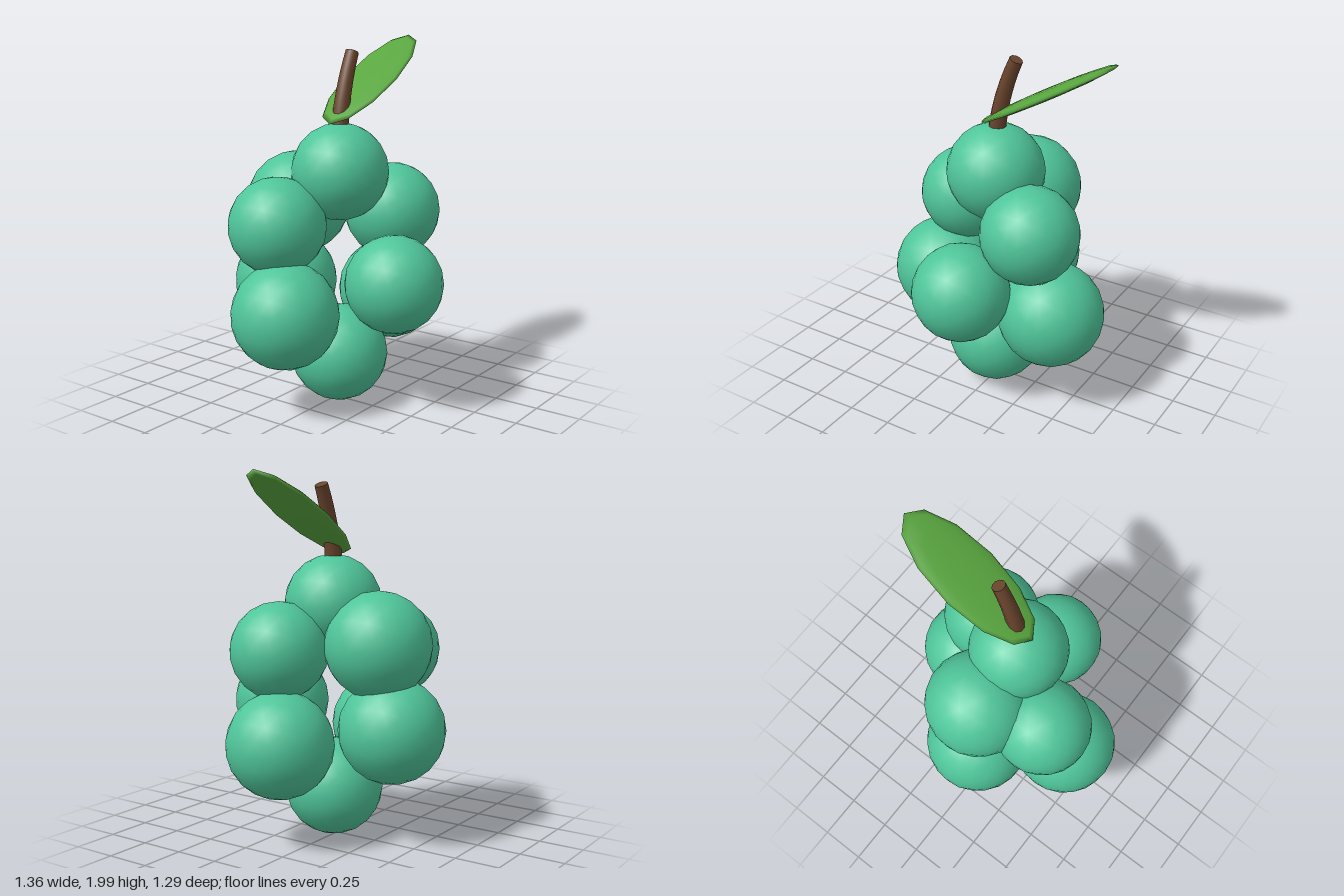
import * as THREE from 'three';

const grapeMat = new THREE.MeshStandardMaterial({ color: 0x4fc59a });
const stemMat = new THREE.MeshStandardMaterial({ color: 0x6b452e });
const leafMat = new THREE.MeshStandardMaterial({ color: 0x59a63f });
grapeMat.name = 'grape green';
stemMat.name = 'stem brown';
leafMat.name = 'leaf green';

// Grapes from bottom to top: x, y, z, radius
const GRAPES = [
  [0, 0.275, 0.02, 0.27],
  [0.39, 0.57, 0.095, 0.29],
  [-0.39, 0.57, -0.05, 0.29],
  [0, 0.635, -0.355, 0.29],
  [0, 0.725, 0.38, 0.265],
  [-0.305, 1.025, -0.165, 0.265],
  [0.295, 1.055, 0.17, 0.265],
  [0.03, 1.09, -0.285, 0.29],
  [0, 1.295, 0.025, 0.265],
];

// Tapered cylinder bent along a curve that leans to +x
function stemGeometry() {
  const curve = new THREE.QuadraticBezierCurve3(
    new THREE.Vector3(0, 1.5, 0.02),
    new THREE.Vector3(0.02, 1.72, 0.02),
    new THREE.Vector3(0.117, 1.93, 0.02),
  );
  const geo = new THREE.CylinderGeometry(0.036, 0.048, 1, 10, 6);
  const pos = geo.attributes.position;
  const nor = geo.attributes.normal;
  const up = new THREE.Vector3(0, 1, 0);
  const q = new THREE.Quaternion();
  const v = new THREE.Vector3();
  for (let i = 0; i < pos.count; i++) {
    const t = THREE.MathUtils.clamp(pos.getY(i) + 0.5, 0, 1);
    q.setFromUnitVectors(up, curve.getTangent(t));
    v.set(pos.getX(i), 0, pos.getZ(i)).applyQuaternion(q).add(curve.getPoint(t));
    pos.setXYZ(i, v.x, v.y, v.z);
    v.fromBufferAttribute(nor, i).applyQuaternion(q);
    nor.setXYZ(i, v.x, v.y, v.z);
  }
  return geo;
}

export function createModel() {
  const model = new THREE.Group();
  model.name = 'grapeBunch';

  // Bunch of faceted round grapes
  const grapes = new THREE.Group();
  grapes.name = 'grapes';
  GRAPES.forEach(([x, y, z, r], i) => {
    const grape = new THREE.Mesh(new THREE.IcosahedronGeometry(r, 3), grapeMat);
    grape.name = `grape${i + 1}`;
    grape.position.set(x, y, z);
    grapes.add(grape);
  });
  model.add(grapes);

  // Curved stem
  const stem = new THREE.Mesh(stemGeometry(), stemMat);
  stem.name = 'stem';
  model.add(stem);

  // Leaf: a flattened, elongated ball tilted upward
  const leafGeo = new THREE.SphereGeometry(1, 12, 8);
  leafGeo.scale(0.443, 0.026, 0.17);
  const leaf = new THREE.Mesh(leafGeo, leafMat);
  leaf.name = 'leaf';
  leaf.position.set(0.295, 1.779, 0.02);
  leaf.rotation.z = 0.52;
  model.add(leaf);

  return model;
}
